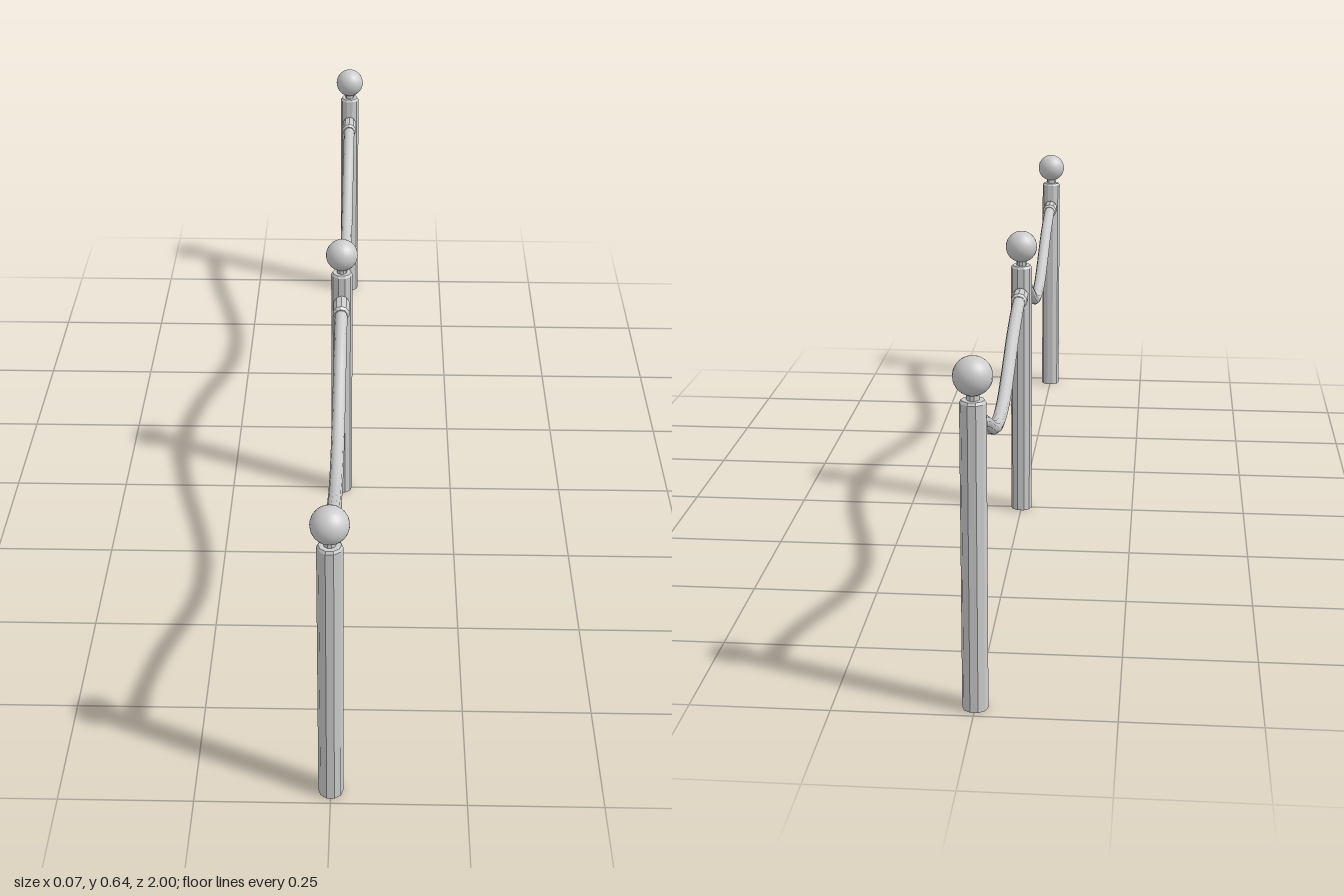
import * as THREE from 'three';

export function createModel() {
  const root = new THREE.Group();
  root.name = 'ropeBarrier';
  const smooth = new THREE.MeshStandardMaterial({ color: 0xcccccc });
  const faceted = new THREE.MeshStandardMaterial({ color: 0xcccccc, flatShading: true, side: THREE.DoubleSide });

  const add = (parent, name, geometry, material) => {
    const mesh = new THREE.Mesh(geometry, material);
    mesh.name = name;
    parent.add(mesh);
    return mesh;
  };
  const profile = (points) => points.map(([r, y]) => new THREE.Vector2(r, y));

  // Ten-sided post, open underneath, with a bevelled top and a narrow neck
  const postShape = new THREE.LatheGeometry(profile([
    [0.023, 0], [0.023, 0.558], [0.02, 0.563], [0.011, 0.563], [0.011, 0.58],
  ]), 10, Math.PI / 10);
  const ballShape = new THREE.SphereGeometry(0.034, 24, 16);

  const postSpacing = 0.966;
  for (const z of [-postSpacing, 0, postSpacing]) {
    const post = new THREE.Group();
    post.name = 'post';
    post.position.z = z;
    add(post, 'postShaft', postShape, faceted);
    add(post, 'ballFinial', ballShape, smooth).position.y = 0.604;
    root.add(post);
  }

  // Sagging rope, measured from the middle of a span
  const ropePath = new THREE.CatmullRomCurve3([
    [0.44, 0.499], [0.38, 0.492], [0.27, 0.464], [0.137, 0.413], [0.06, 0.389],
    [-0.018, 0.381], [-0.1, 0.389], [-0.183, 0.414], [-0.317, 0.469], [-0.38, 0.489], [-0.44, 0.5],
  ].map(([z, y]) => new THREE.Vector3(0, y, z)));
  const ropeShape = new THREE.TubeGeometry(ropePath, 48, 0.0135, 10);

  // Collar with a chamfered outer end, running from post to rope
  const collarShape = new THREE.LatheGeometry(profile([
    [0, 0], [0.014, 0], [0.018, 0.012], [0.018, 0.05], [0.0135, 0.056], [0, 0.056],
  ]), 10);

  for (const side of [-1, 1]) {
    const span = new THREE.Group();
    span.name = 'ropeSpan';
    span.position.z = side * postSpacing / 2;
    add(span, 'rope', ropeShape, smooth);
    for (const end of [-1, 1]) {
      const collar = add(span, 'ropeCollar', collarShape, faceted);
      collar.position.set(0, 0.501, end * 0.467);
      collar.rotation.x = -end * (Math.PI / 2 + 0.06);
    }
    root.add(span);
  }
  return root;
}
